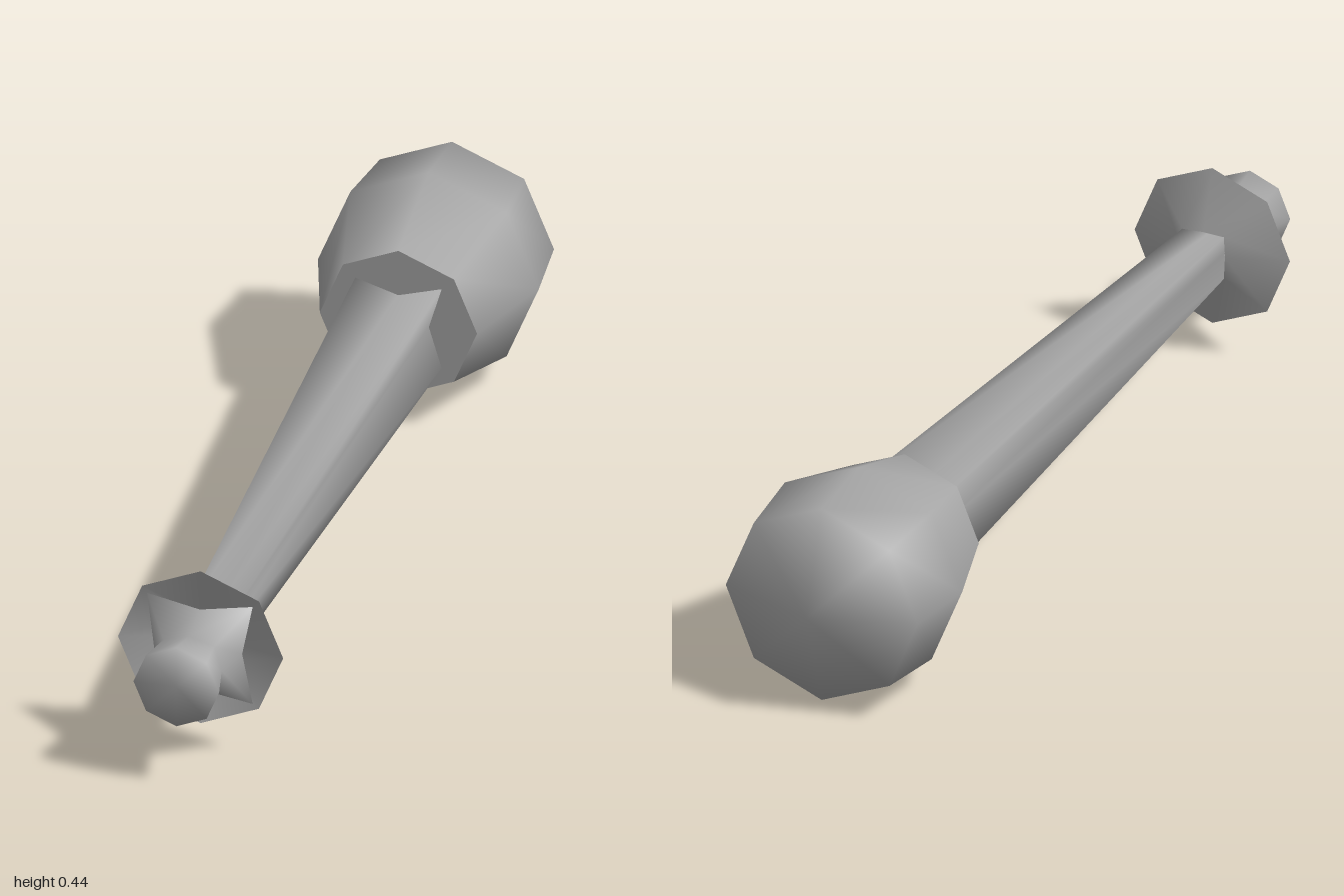
import * as THREE from 'three';
import { mergeVertices } from 'three/addons/utils/BufferGeometryUtils.js';

const SIDES = 8;
const AXIS_Y = 0.222;

// Loft eight-sided rings along z. Each ring is [z, radius on axes, radius on diagonals].
function loft(rings) {
  const pos = [], index = [];
  for (const [z, ra, rd = ra] of rings) {
    for (let k = 0; k < SIDES; k++) {
      const a = (k * Math.PI * 2) / SIDES;
      const r = k % 2 ? rd : ra;
      pos.push(r * Math.cos(a), r * Math.sin(a), z);
    }
  }
  for (let i = 0; i < rings.length - 1; i++) {
    for (let k = 0; k < SIDES; k++) {
      const a = i * SIDES + k, b = i * SIDES + ((k + 1) % SIDES);
      const c = a + SIDES, d = b + SIDES;
      index.push(a, c, b, b, c, d);
    }
  }
  let geo = new THREE.BufferGeometry();
  geo.setAttribute('position', new THREE.Float32BufferAttribute(pos, 3));
  geo.setIndex(index);
  geo = mergeVertices(geo, 1e-5);
  geo.computeVertexNormals();
  return geo;
}

export function createModel() {
  const model = new THREE.Group();
  model.name = 'club';
  const grey = new THREE.MeshStandardMaterial({ color: 0xa6a6a6, side: THREE.DoubleSide });
  grey.name = 'plain grey';

  const add = (name, rings) => {
    const mesh = new THREE.Mesh(loft(rings), grey);
    mesh.name = name;
    mesh.position.y = AXIS_Y;
    model.add(mesh);
  };

  // Pommel knob with four ridges spreading back onto the guard
  add('pommel', [[1, 0], [1, 0.086], [0.912, 0.066, 0.072], [0.835, 0.085, 0.15]]);

  // Thin flared guard, open to the front
  add('guard', [[0.83, 0.166], [0.79, 0.046, 0.062]]);

  // Tapered handle with four grooves between its corner ridges
  add('handle', [[0.81, 0.035, 0.062], [-0.6, 0.062, 0.125]]);

  // Heavy head: flat front, swelling sides and a low pointed end
  add('headFront', [[-0.555, 0], [-0.555, 0.158]]);
  add('head', [[-0.555, 0.158], [-0.765, 0.222], [-0.93, 0.205], [-1, 0]]);

  return model;
}
